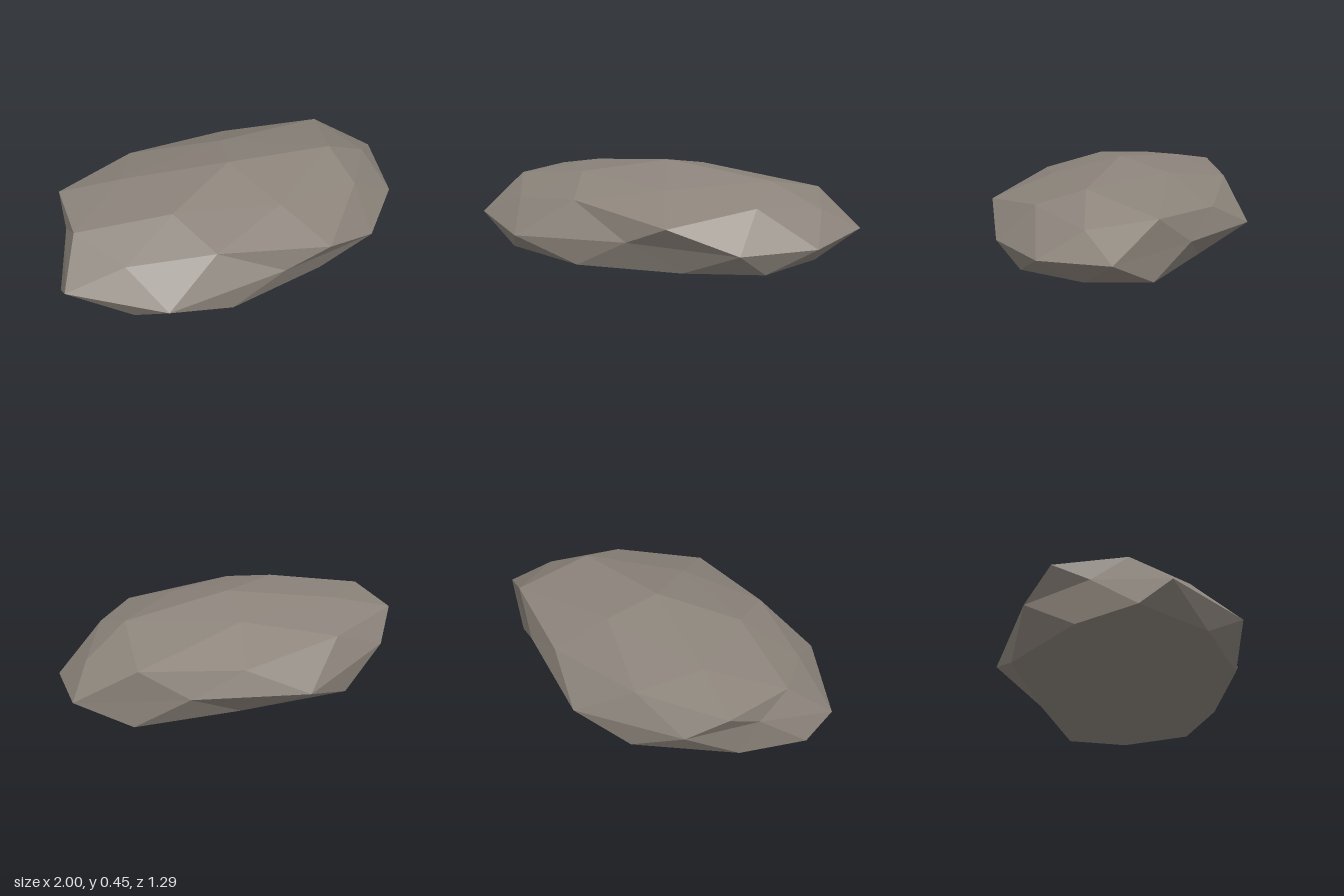
import * as THREE from 'three';

// Horizontal rings of the boulder, anticlockwise seen from above: [x, y, z]
const apex = [0.01, 0.45, 0.02];
const crown = [[0.13, 0.365, 0.36], [0.59, 0.395, 0.07], [0.1, 0.39, -0.25], [-0.51, 0.37, -0.2], [-0.4, 0.39, 0.21]];
const shoulder = [
  [0.26, 0.25, 0.645], [0.6, 0.31, 0.32], [0.84, 0.26, 0.02], [0.73, 0.3, -0.31], [0.24, 0.255, -0.5],
  [-0.33, 0.295, -0.49], [-0.8, 0.3, -0.335], [-0.86, 0.31, 0.03], [-0.71, 0.25, 0.32], [-0.3, 0.31, 0.5],
];
const waist = [
  [0.59, 0.12, 0.525], [0.89, 0.115, 0.24], [1, 0.14, -0.145], [0.51, 0.14, -0.43], [-0.05, 0.11, -0.65],
  [-0.64, 0.17, -0.47], [-0.84, 0.2, -0.15], [-1, 0.12, 0.225], [-0.6, 0.115, 0.58], [0.03, 0.15, 0.6],
];
const foot = [
  [0.29, 0, 0.51], [0.67, 0, 0.38], [0.815, 0, 0.03], [0.75, 0, -0.29], [0.22, 0, -0.43],
  [-0.35, 0, -0.545], [-0.78, 0, -0.22], [-0.97, 0.01, 0.07], [-0.71, 0, 0.4], [-0.25, 0, 0.575],
];

export function createModel() {
  const positions = [];
  const tri = (a, b, c) => positions.push(...a, ...b, ...c);
  const at = (ring, i) => ring[(i + ring.length) % ring.length];

  // Top facets: five-sided crown opening out to the ten-sided shoulder
  for (let k = 0; k < 5; k++) {
    const a = crown[k], b = at(crown, k + 1), mid = at(shoulder, 2 * k + 1);
    tri(apex, a, b);
    tri(a, at(shoulder, 2 * k), mid);
    tri(a, mid, b);
    tri(b, mid, at(shoulder, 2 * k + 2));
  }
  // Side facets and flat underside
  for (let i = 0; i < 10; i++) {
    tri(shoulder[i], waist[i], at(shoulder, i + 1));
    tri(at(shoulder, i + 1), waist[i], at(waist, i + 1));
    tri(at(waist, i - 1), foot[i], waist[i]);
    tri(waist[i], foot[i], at(foot, i + 1));
    tri([0, 0, 0], at(foot, i + 1), foot[i]);
  }

  const geometry = new THREE.BufferGeometry();
  geometry.setAttribute('position', new THREE.Float32BufferAttribute(positions, 3));
  geometry.computeVertexNormals(); // unshared corners give flat facets

  const stone = new THREE.MeshStandardMaterial({ color: 0x8c847b });
  stone.name = 'warm grey stone';
  stone.flatShading = true;

  const boulder = new THREE.Mesh(geometry, stone);
  boulder.name = 'boulder';
  const group = new THREE.Group();
  group.name = 'flat rock';
  group.add(boulder);
  return group;
}
